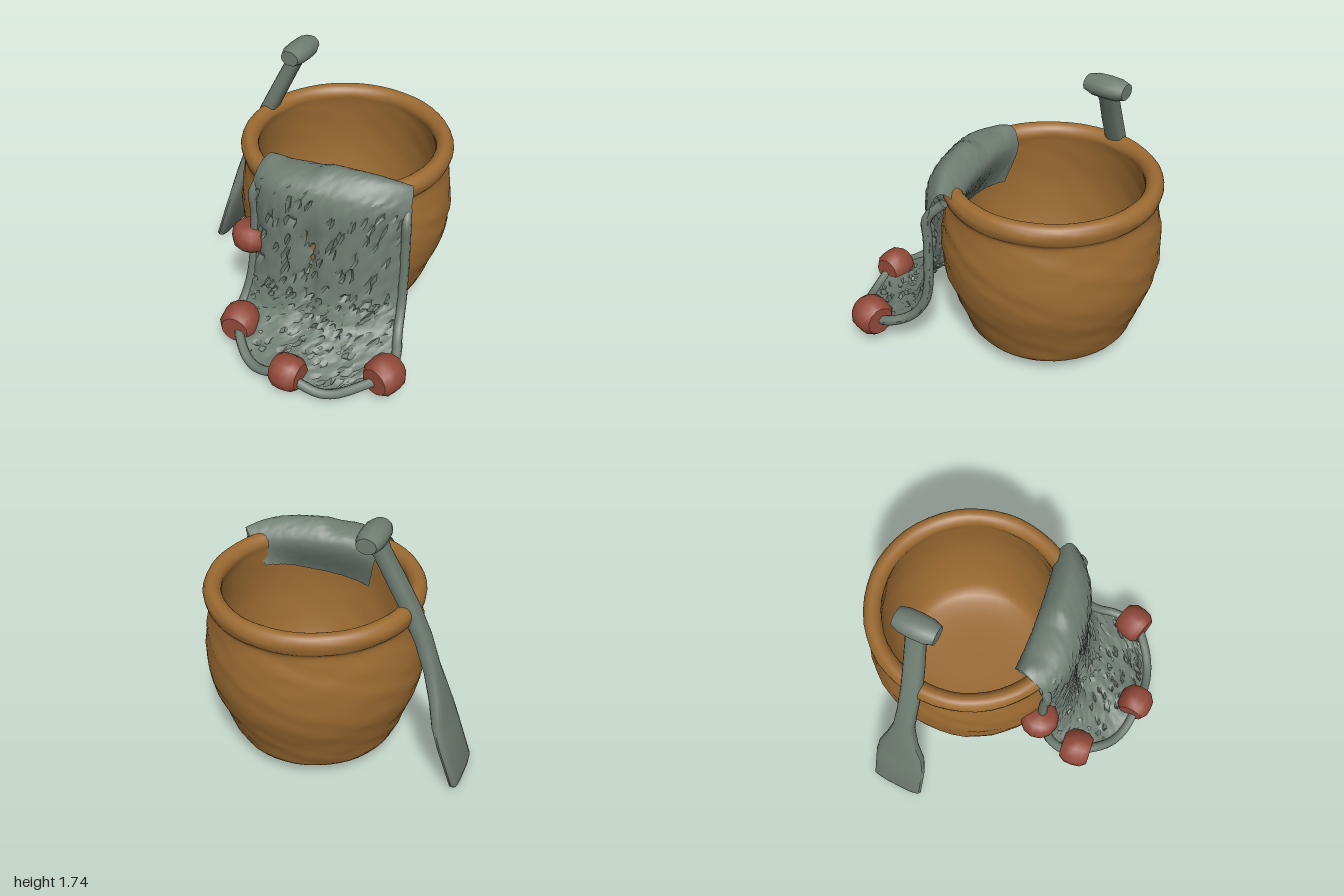
import * as THREE from 'three';
import { mergeVertices, toCreasedNormals } from 'three/addons/utils/BufferGeometryUtils.js';

const V = (x, y, z) => new THREE.Vector3(x, y, z);
const smooth = THREE.MathUtils.smoothstep;

// Seeded random numbers
let seed = 7;
const rand = () => (seed = (seed * 16807) % 2147483647) / 2147483647;

// Surface from a rule fn(u, v) -> point; skip(u, v) leaves half a cell open
function grid(fn, nu, nv, skip = () => false) {
  const pos = [], index = [];
  for (let j = 0; j <= nv; j++) {
    for (let i = 0; i <= nu; i++) pos.push(...fn(i / nu, j / nv).toArray());
  }
  for (let j = 0; j < nv; j++) {
    for (let i = 0; i < nu; i++) {
      const a = j * (nu + 1) + i, c = a + nu + 1;
      index.push(a, a + 1, c + 1);
      if (!skip(i / nu, j / nv)) index.push(a, c + 1, c);
    }
  }
  const geo = new THREE.BufferGeometry();
  geo.setAttribute('position', new THREE.Float32BufferAttribute(pos, 3));
  geo.setIndex(index);
  return geo;
}

// Rounded barrel along a given axis
function barrel(r, h, axis) {
  const pts = [[0, -h], [0.72 * r, -h], [0.95 * r, -0.6 * h], [r, 0], [0.95 * r, 0.6 * h], [0.72 * r, h], [0, h]];
  const geo = new THREE.LatheGeometry(pts.map(p => new THREE.Vector2(...p)), 12);
  geo.applyQuaternion(new THREE.Quaternion().setFromUnitVectors(V(0, 1, 0), axis.clone().normalize()));
  return toCreasedNormals(geo, 0.9);
}

// Round clay-like basket with a rolled rim
function basketGeometry() {
  const profile = [
    [0, 0.115], [0.3, 0.115], [0.49, 0.118], [0.535, 0.14], [0.565, 0.2], [0.62, 0.35], [0.69, 0.55], [0.71, 0.75],
    [0.695, 0.92], [0.665, 1.07], [0.69, 1.12], [0.7, 1.18], [0.67, 1.23], [0.62, 1.23], [0.585, 1.18],
    [0.6, 1.08], [0.62, 0.75], [0.55, 0.38], [0.42, 0.24], [0, 0.22],
  ];
  const pts = new THREE.SplineCurve(profile.map(p => new THREE.Vector2(...p))).getPoints(76);
  pts[0].x = pts[76].x = 0;
  let geo = new THREE.LatheGeometry(pts, 48);
  geo.deleteAttribute('normal');
  geo.deleteAttribute('uv');
  geo = mergeVertices(geo, 1e-4);
  const p = geo.attributes.position;
  for (let i = 0; i < p.count; i++) {
    const x = p.getX(i), y = p.getY(i), z = p.getZ(i), a = Math.atan2(z, x);
    // Uneven hand-formed wall, calmer at the rim
    const amp = y > 1.05 || y < 0.16 ? 0.003 : 0.006;
    const lumps = Math.sin(6 * a + 1) * Math.sin(31 * y) + 0.8 * Math.sin(11 * a + 2) * Math.sin(47 * y + 1)
      + 1.2 * (rand() - 0.5);
    p.setXYZ(i, x * (1 + amp * lumps), y, z * (1 + amp * lumps));
  }
  geo.computeVertexNormals();
  return geo;
}

// Draped net: left edge, middle and right edge, from inside the basket over the rim to the apron
const curve = pts => new THREE.CatmullRomCurve3(pts.map(p => V(...p)));
const netLeft = curve([
  [-0.1, 0.9, 0.2], [-0.17, 1.17, 0.14], [-0.2, 1.27, 0.21], [-0.23, 1.18, 0.36], [-0.245, 0.8, 0.36],
  [-0.26, 0.45, 0.4], [-0.275, 0.29, 0.46], [-0.27, 0.21, 0.55], [-0.2, 0.19, 0.66]]);
const netMid = curve([
  [0.28, 0.95, 0.2], [0.28, 1.22, 0.1], [0.28, 1.335, 0.23], [0.27, 1.21, 0.4], [0.26, 0.8, 0.435],
  [0.27, 0.45, 0.46], [0.28, 0.27, 0.53], [0.3, 0.18, 0.7], [0.31, 0.15, 0.9]]);
const netRight = curve([
  [0.57, 1.02, 0.02], [0.66, 1.17, 0.01], [0.735, 1.25, 0.07], [0.765, 1.13, 0.14], [0.775, 0.8, 0.15],
  [0.785, 0.45, 0.18], [0.82, 0.28, 0.29], [0.89, 0.2, 0.46], [0.86, 0.18, 0.63]]);

function netPoint(u, v) {
  const l = netLeft.getPoint(v), m = netMid.getPoint(v), r = netRight.getPoint(v);
  const base = l.clone().lerp(r, 0.5);
  const p = l.lerp(r, u).add(m.sub(base).multiplyScalar(1 - Math.abs(2 * u - 1) ** 3));
  // Lower left lobe on the rim, a fold below it and a wavy front hem
  const top = Math.exp(-(((v - 0.25) / 0.07) ** 2));
  p.y -= 0.04 * top * smooth(u, 0.02, 0.15) * (1 - smooth(u, 0.34, 0.48));
  const front = smooth(v, 0.4, 0.5) * (1 - smooth(v, 0.7, 0.9));
  p.z -= 0.04 * front * Math.exp(-(((u - 0.45) / 0.05) ** 2));
  p.y -= 0.06 * Math.max(0, v - 0.8) / 0.2 * Math.sin(2 * Math.PI * u) ** 2;
  return p;
}

function netGeometry() {
  const rough = (u, v) => {
    const q = netPoint(1 - u, v);
    const jitter = v > 0.36 ? 0.006 : 0.002;
    q.add(V(rand() - 0.5, rand() - 0.5, rand() - 0.5).multiplyScalar(2 * jitter));
    // Small pits in the mesh
    if (v > 0.4 && v < 0.97 && u > 0.05 && u < 0.95 && rand() < 0.09) {
      if (v > 0.8) q.y -= 0.03;
      else q.z -= 0.03;
    }
    return q;
  };
  const hole = (u, v) => v > 0.8 && v < 0.95 && rand() < 0.02;
  return toCreasedNormals(grid(rough, 48, 72, hole), 0.75);
}

// Rope that emerges from behind one edge, follows the hem and returns up the other edge
function ropeGeometry() {
  const pts = [netPoint(0, 0.33).add(V(0.06, -0.02, -0.04))], e = 0.02;
  for (let i = 1; i <= 12; i++) pts.push(netPoint(e, 0.36 + 0.64 * i / 12));
  for (let i = 1; i < 16; i++) pts.push(netPoint(e + (1 - 2 * e) * i / 16, 1));
  for (let i = 12; i >= 1; i--) pts.push(netPoint(1 - e, 0.36 + 0.64 * i / 12));
  pts.push(netPoint(1, 0.33).add(V(-0.06, -0.02, -0.04)));
  return new THREE.TubeGeometry(new THREE.CatmullRomCurve3(pts), 140, 0.032, 8);
}

// Paddle shaft and blade: x, y, z, half width, half thickness
function paddleGeometry() {
  const rows = [
    [-0.36, 1.68, -0.41, 0, 0], [-0.36, 1.67, -0.41, 0.075, 0.06], [-0.4, 1.57, -0.405, 0.064, 0.048],
    [-0.49, 1.38, -0.385, 0.068, 0.05], [-0.575, 1.2, -0.37, 0.068, 0.052], [-0.665, 1, -0.37, 0.066, 0.05],
    [-0.733, 0.8, -0.38, 0.072, 0.046], [-0.785, 0.63, -0.385, 0.115, 0.045], [-0.822, 0.47, -0.385, 0.17, 0.042],
    [-0.865, 0.33, -0.385, 0.188, 0.036], [-0.96, 0.045, -0.385, 0.185, 0.034], [-0.968, 0.015, -0.385, 0.15, 0.022],
    [-0.968, 0.012, -0.385, 0, 0],
  ];
  const n = rows.length - 1;
  const fn = (u, v) => {
    const [x, y, z, w, t] = rows[Math.round(v * n)];
    const a = u * Math.PI * 2, c = Math.cos(a), s = Math.sin(a);
    const cc = Math.sign(c) * Math.abs(c) ** 0.65, ss = Math.sign(s) * Math.abs(s) ** 0.65;
    return V(x + 0.93 * t * cc, y - 0.37 * t * cc, z + w * ss);
  };
  return toCreasedNormals(mergeVertices(grid(fn, 16, n), 1e-4), 0.8);
}

export function createModel() {
  const model = new THREE.Group();
  model.name = 'basketWithNetAndPaddle';
  const material = (name, color, side = THREE.FrontSide) => {
    const m = new THREE.MeshStandardMaterial({ color, side });
    m.name = name;
    return m;
  };
  const brown = material('basketBrown', 0x9c6b32);
  const grey = material('greyGreen', 0x6f7d72, THREE.DoubleSide);
  const red = material('weightRed', 0x934a3a);
  const add = (name, geo, mat, x = 0, y = 0, z = 0) => {
    const mesh = new THREE.Mesh(geo, mat);
    mesh.name = name;
    mesh.position.set(x, y, z);
    model.add(mesh);
  };

  add('basket', basketGeometry(), brown, 0.077, 0, -0.295);
  add('net', netGeometry(), grey);
  add('netRope', ropeGeometry(), grey);
  add('paddle', paddleGeometry(), grey);
  add('paddleHandle', barrel(0.08, 0.14, V(0, 0, 1)).scale(1.12, 0.9, 1), grey, -0.353, 1.67, -0.415);

  // Net weights threaded on the rope
  add('sideWeight', barrel(0.13, 0.08, V(0.05, 1, 0)), red, -0.26, 0.7, 0.375);
  add('leftWeight', barrel(0.13, 0.1, V(0.15, 0, 1)), red, -0.19, 0.19, 0.65);
  add('frontWeight', barrel(0.12, 0.095, V(1, 0, 0)), red, 0.315, 0.17, 0.88);
  add('rightWeight', barrel(0.13, 0.1, V(-0.25, 0, 1)), red, 0.86, 0.19, 0.61);
  return model;
}
